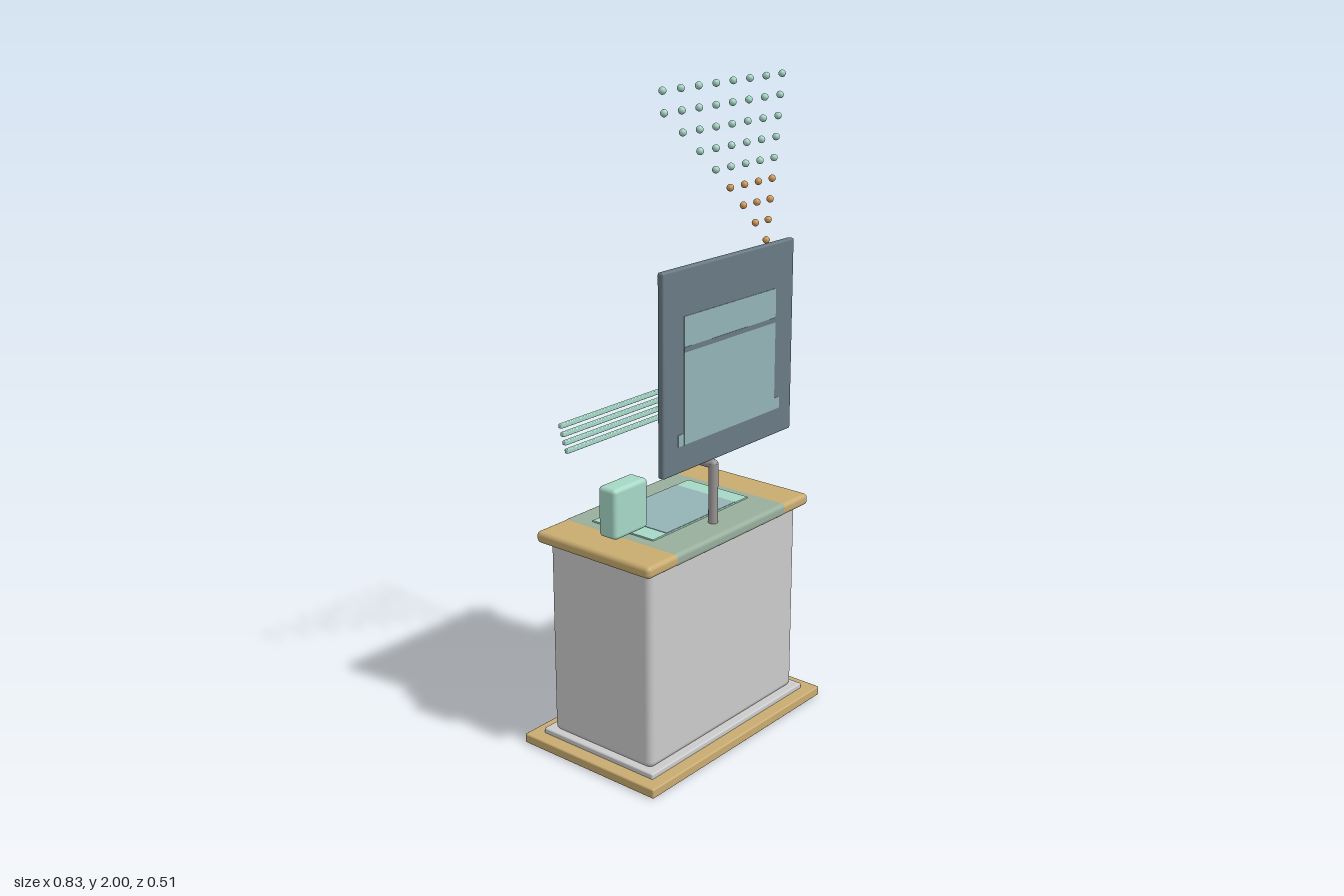
import * as THREE from 'three';
import { RoundedBoxGeometry } from 'three/addons/geometries/RoundedBoxGeometry.js';

const paint = (color) => new THREE.MeshStandardMaterial({ color });
const TAN = paint(0xc8ab70), MINT = paint(0xa6d8c6), SLATE = paint(0x687a84);
const GLASS = paint(0x94b3b6), SAGE = paint(0x98ae9c), WHITE = paint(0xcfcfd0);
const STEEL = paint(0x9a9696), AMBER = paint(0xd09a55);

export function createModel() {
  const model = new THREE.Group();

  const add = (name, geometry, material, x, y, z, parent = model) => {
    const mesh = new THREE.Mesh(geometry, material);
    mesh.name = name;
    mesh.position.set(x, y, z);
    parent.add(mesh);
    return mesh;
  };
  // Box given by its extents, with softened edges when r > 0
  const block = (name, material, [x0, x1], [y0, y1], [z0, z1], r = 0, parent = model) => {
    const size = [x1 - x0, y1 - y0, z1 - z0];
    const geometry = r ? new RoundedBoxGeometry(...size, 3, r) : new THREE.BoxGeometry(...size);
    return add(name, geometry, material, (x0 + x1) / 2, (y0 + y1) / 2, (z0 + z1) / 2, parent);
  };

  // Floor plate, plinth and cabinet
  block('basePlate', TAN, [-0.413, 0.413], [0, 0.03], [-0.257, 0.257], 0.005);
  block('plinth', WHITE, [-0.37, 0.37], [0.025, 0.046], [-0.217, 0.217], 0.005);
  block('cabinet', WHITE, [-0.35, 0.35], [0.04, 0.672], [-0.194, 0.194], 0.022);

  // Countertop with a tinted middle band, and the basin set into it
  block('countertop', TAN, [-0.382, 0.382], [0.66, 0.697], [-0.218, 0.218], 0.014);
  block('counterBand', SAGE, [-0.265, 0.265], [0.6595, 0.6985], [-0.2185, 0.2185], 0.014);
  block('basin', MINT, [-0.225, 0.223], [0.685, 0.703], [-0.135, 0.1]);
  block('basinWater', GLASS, [-0.163, 0.161], [0.695, 0.7045], [-0.134, 0.099]);

  // Faucet: upright post with a domed top and a level spout
  const faucet = new THREE.Group();
  faucet.name = 'faucet';
  model.add(faucet);
  add('post', new THREE.CylinderGeometry(0.0145, 0.0145, 0.19, 20), STEEL, 0, 0.79, 0.142, faucet);
  add('elbow', new THREE.SphereGeometry(0.0145, 20, 12), STEEL, 0, 0.882, 0.142, faucet);
  const spout = add('spout', new THREE.CylinderGeometry(0.014, 0.014, 0.112, 20), STEEL, 0, 0.882, 0.086, faucet);
  spout.rotation.x = Math.PI / 2;

  // Box-shaped cup beside the basin
  block('cup', MINT, [-0.398, -0.257], [0.755, 0.906], [0.045, 0.111], 0.013);

  // Mirror with a pale pane
  block('mirrorFrame', SLATE, [-0.298, 0.297], [0.93, 1.515], [0.18, 0.202], 0.006);
  block('mirrorPane', GLASS, [-0.21, 0.21], [1.01, 1.38], [0.195, 0.2035]);
  block('paneFoot', GLASS, [-0.235, 0.235], [1.01, 1.045], [0.195, 0.2032]);
  block('paneBar', SLATE, [-0.21, 0.21], [1.278, 1.293], [0.195, 0.2042]);

  // Four stacked rails at the back, growing longer upward
  const rails = new THREE.Group();
  rails.name = 'rails';
  model.add(rails);
  for (let i = 0; i < 4; i++) {
    const half = 0.257 + i * 0.008, y = 0.912 + i * 0.028;
    block('rail', MINT, [-half, half], [y - 0.007, y + 0.007], [-0.214, -0.2], 0.003, rails);
  }

  // Fan of small drops widening upward from the mirror's top corner
  const drops = new THREE.Group();
  drops.name = 'drops';
  model.add(drops);
  const drop = new THREE.SphereGeometry(0.0105, 14, 10);
  for (let row = 0; row < 9; row++) {
    const right = 0.194 + row * 0.0077, gap = 0.0588 + row * 0.002;
    for (let k = 0; k < Math.min(row + 1, 8); k++) {
      add('drop', drop, row < 4 ? AMBER : MINT, right - k * gap, 1.522 + row * 0.0584, 0.176, drops);
    }
  }

  return model;
}
